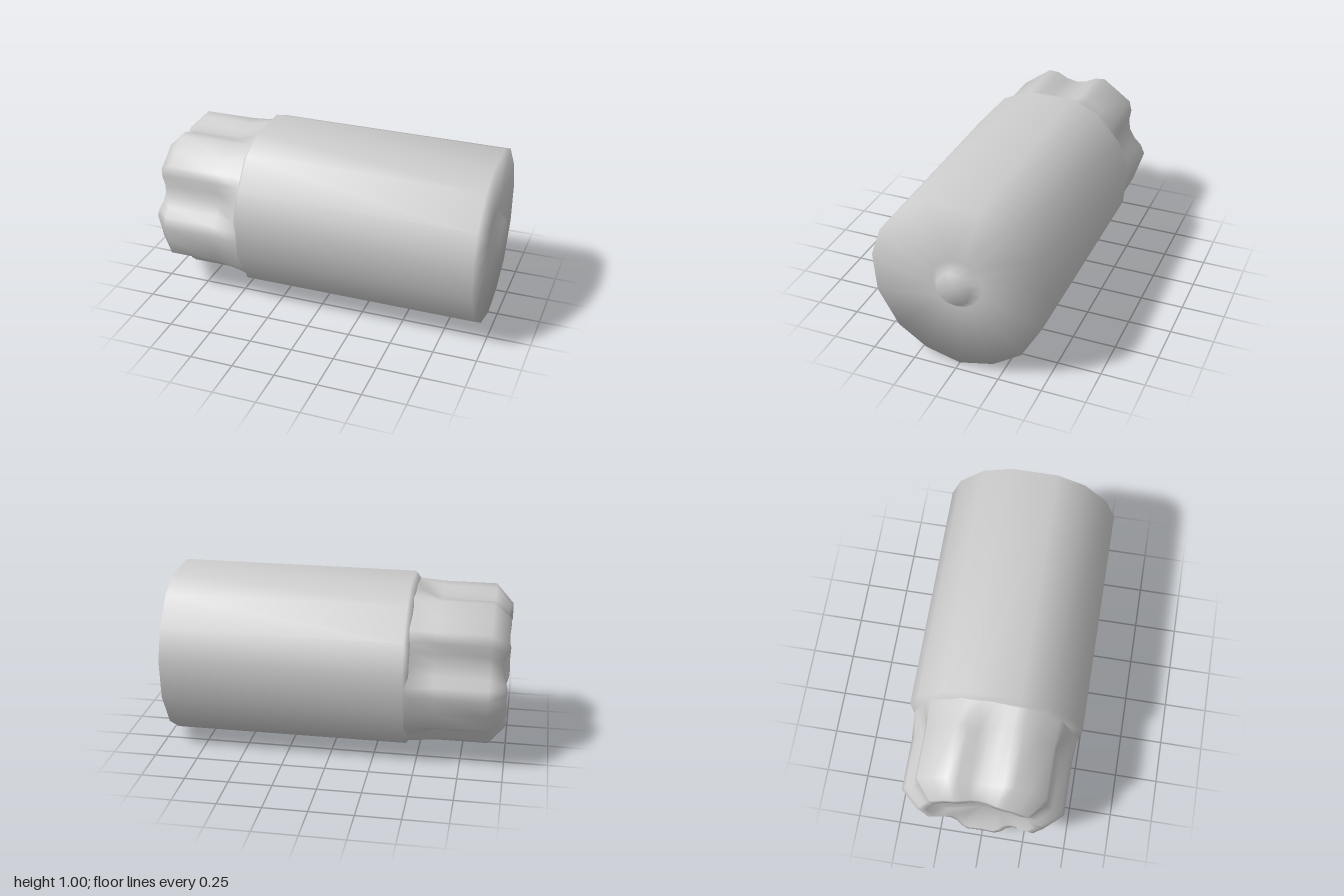
import * as THREE from 'three';

const CY = 0.5; // height of the long axis
const material = new THREE.MeshStandardMaterial({ color: 0xcccccc });

// Skin a list of equal-length rings with smooth, shared normals
function loft(name, rings) {
  const n = rings[0].length;
  const index = [];
  for (let k = 0; k < rings.length - 1; k++) {
    for (let i = 0; i < n; i++) {
      const a = k * n + i, b = k * n + (i + 1) % n;
      index.push(a, a + n, b, b, a + n, b + n);
    }
  }
  const geometry = new THREE.BufferGeometry();
  geometry.setAttribute('position', new THREE.Float32BufferAttribute(rings.flat(2), 3));
  geometry.setIndex(index);
  geometry.computeVertexNormals();
  const mesh = new THREE.Mesh(geometry, material);
  mesh.name = name;
  return mesh;
}

// Half of the uneven 15-sided body outline, bottom to top, as [z, y]
const half = [[0, 0], [0.2, 0.05], [0.363, 0.16], [0.481, 0.366], [0.5, 0.593],
  [0.441, 0.765], [0.3, 0.928], [0.136, 1]];
const outline = [...half, ...half.slice(1).reverse().map(([z, y]) => [-z, y])];

const bodyRing = (x, s) => outline.map(([z, y]) => [x, CY + (y - CY) * s, z * s]);
const roundRing = (x, r, cy) => outline.map(([z, y]) => {
  const a = Math.atan2(z, CY - y);
  return [x, cy - r * Math.cos(a), r * Math.sin(a)];
});

// Five-lobed ring: lobes and valleys each have their own x and radius
const offsets = [-36, -27, -20, -13, 0, 13, 20, 27];
const weights = [0, 0.2, 0.7, 1, 0.87, 1, 0.7, 0.2];
function lobedRing(lobeX, valleyX, lobeR, valleyR) {
  const ring = [];
  for (let lobe = 0; lobe < 5; lobe++) {
    offsets.forEach((offset, i) => {
      const a = THREE.MathUtils.degToRad(lobe * 72 + offset);
      const r = THREE.MathUtils.lerp(valleyR, lobeR, weights[i]);
      const x = THREE.MathUtils.lerp(valleyX, lobeX, weights[i]);
      ring.push([x, CY - r * Math.cos(a), r * Math.sin(a)]);
    });
  }
  return ring;
}

export function createModel() {
  const group = new THREE.Group();
  group.name = 'lobedCylinder';

  // Body with shoulder, flat end and small end stud
  group.add(loft('body', [
    bodyRing(-0.46, 0.92),
    bodyRing(-0.43, 1),
    bodyRing(0.947, 1),
    roundRing(0.947, 0.146, 0.525),
    roundRing(1, 0.098, 0.525),
    roundRing(1, 0, 0.525),
  ]));

  // Lobed head: recessed floor, wavy rim, bevel, lobes and flare into the body
  group.add(loft('lobedHead', [
    lobedRing(-0.93, -0.93, 0, 0),
    lobedRing(-0.94, -0.94, 0.27, 0.21),
    lobedRing(-1, -0.97, 0.31, 0.26),
    lobedRing(-1, -0.97, 0.36, 0.31),
    lobedRing(-0.9, -0.9, 0.47, 0.385),
    lobedRing(-0.6, -0.6, 0.47, 0.385),
    lobedRing(-0.47, -0.47, 0.48, 0.46),
    lobedRing(-0.43, -0.43, 0.48, 0.475),
  ]));
  return group;
}
